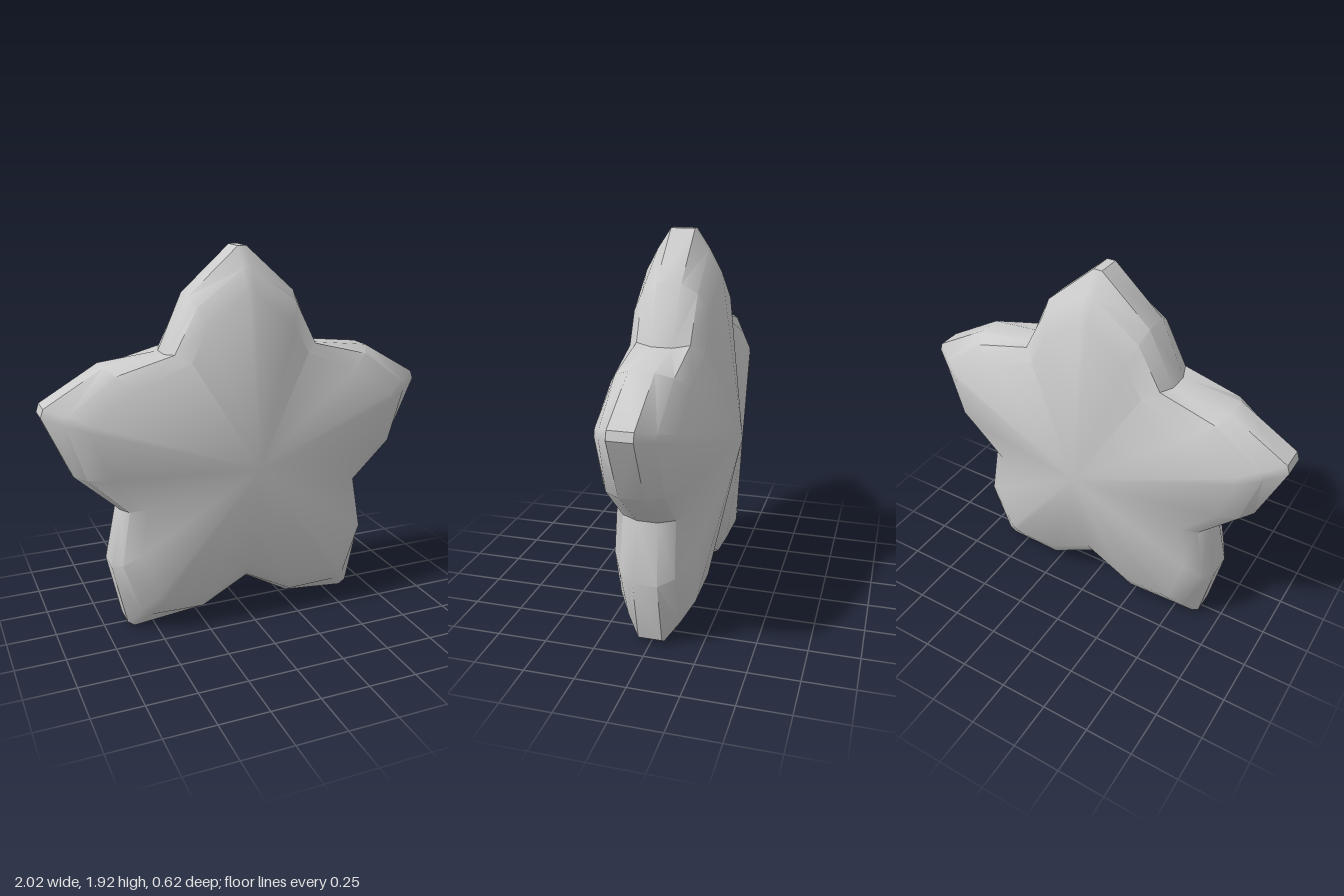
import * as THREE from 'three';
import { toCreasedNormals } from 'three/addons/utils/BufferGeometryUtils.js';

const CENTER_Y = 0.86;
const APEX_Z = 0.31;
const rad = THREE.MathUtils.degToRad;

// Columns of one arm: angle from the arm axis, then [radius, z] from rim to face
const ARM = [
  { a: -36, p: [[0.685, 0.05], [0.655, 0.13], [0.57, 0.185]] },
  { a: -18.3, p: [[0.875, 0.06], [0.825, 0.135], [0.72, 0.187]] },
  { a: -1.2, p: [[1.056, 0.06], [0.955, 0.128], [0.845, 0.188]] },
  { a: 1.2, p: [[1.056, 0.06], [0.955, 0.128], [0.845, 0.188]] },
  { a: 18.3, p: [[0.875, 0.06], [0.825, 0.135], [0.72, 0.187]] },
];

// Angle shift of the two upper notches, which crease level across the star
const LEVEL = [0, 2.5, 6];

// One closed ring of points; level 0 is the rim, 2 the edge of the face
function ring(level, side) {
  const points = [];
  for (let arm = 0; arm < 5; arm++) {
    ARM.forEach(({ a, p }, c) => {
      let [r, z] = p[level];
      let angle = 90 + arm * 72 + a;
      if (c === 0 && arm === 0) { angle += LEVEL[level]; r += level * 0.022; }
      if (c === 0 && arm === 1) { angle -= LEVEL[level]; r += level * 0.022; }
      points.push([r * Math.cos(rad(angle)), CENTER_Y + r * Math.sin(rad(angle)), z * side]);
    });
  }
  // the first notch lies right of the top arm, the second left of it
  return points;
}

function starGeometry() {
  const rings = [ring(2, -1), ring(1, -1), ring(0, -1), ring(0, 1), ring(1, 1), ring(2, 1)];
  const n = rings[0].length;
  const back = [0, CENTER_Y, -APEX_Z];
  const front = [0, CENTER_Y, APEX_Z];
  const out = [];
  const tri = (...corners) => corners.forEach((c) => out.push(...c));

  for (let i = 0; i < n; i++) {
    const j = (i + 1) % n;
    // back and front faces rise to a point
    tri(back, rings[0][j], rings[0][i]);
    tri(front, rings[5][i], rings[5][j]);
    // bevelled sides, with diagonals mirrored about each arm axis
    for (let k = 0; k < 5; k++) {
      const a = rings[k][i], b = rings[k][j], c = rings[k + 1][j], d = rings[k + 1][i];
      if ((i % 5 < 2) === (k > 2)) { tri(a, b, c); tri(a, c, d); }
      else { tri(a, b, d); tri(b, c, d); }
    }
  }
  const geometry = new THREE.BufferGeometry();
  geometry.setAttribute('position', new THREE.Float32BufferAttribute(out, 3));
  return toCreasedNormals(geometry, rad(36));
}

export function createModel() {
  const group = new THREE.Group();
  group.name = 'star';
  const body = new THREE.Mesh(starGeometry(), new THREE.MeshStandardMaterial({ color: 0xcccccc }));
  body.name = 'starBody';
  group.add(body);
  return group;
}
